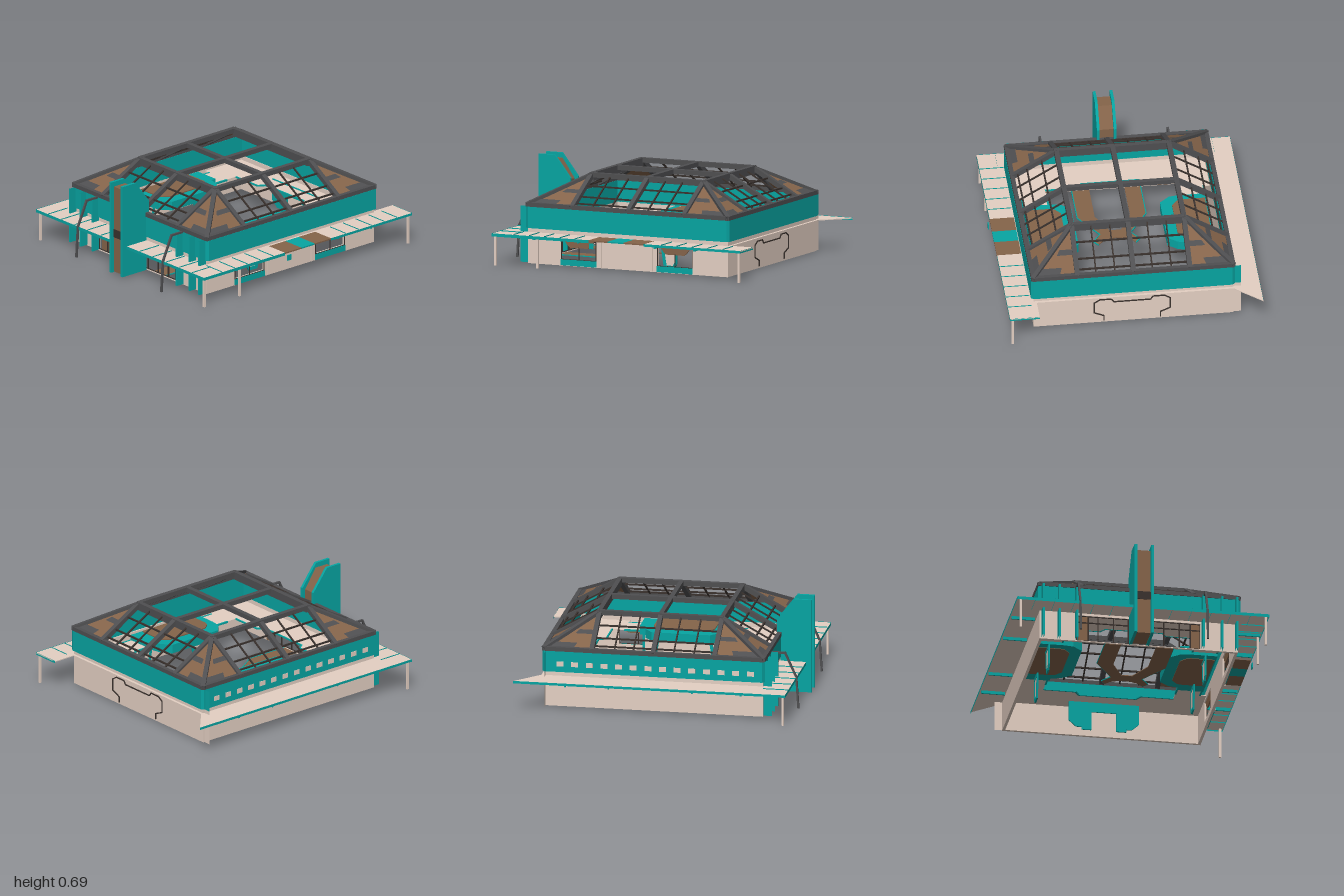
import * as THREE from 'three';

const mat = (name, hex) => {
  const m = new THREE.MeshStandardMaterial({ color: hex, side: THREE.DoubleSide });
  m.name = name;
  return m;
};

export function createModel() {
  const root = new THREE.Group();
  root.name = 'pavilion';
  const teal = mat('teal', 0x07a5a2);
  const beige = mat('beige', 0xe4d0c3);
  const brown = mat('brown', 0x85644a);
  const grey = mat('frameGrey', 0x4f4f51);
  const dark = mat('darkTrim', 0x3a322e);

  const add = (name, geo, m) => {
    const mesh = new THREE.Mesh(geo, m);
    mesh.name = name;
    root.add(mesh);
    return mesh;
  };
  // box given by its limits
  const box = (name, m, x0, x1, y0, y1, z0, z1) => {
    const b = add(name, new THREE.BoxGeometry(x1 - x0, y1 - y0, z1 - z0), m);
    b.position.set((x0 + x1) / 2, (y0 + y1) / 2, (z0 + z1) / 2);
  };
  // square bars along a path
  const bars = (name, m, t, pts) => {
    for (let i = 0; i + 1 < pts.length; i++) {
      const a = new THREE.Vector3(...pts[i]), b = new THREE.Vector3(...pts[i + 1]);
      const bar = add(name, new THREE.BoxGeometry(t, t, a.distanceTo(b) + t * 0.5), m);
      bar.position.copy(a).lerp(b, 0.5);
      bar.lookAt(b);
    }
  };
  const outline = (pts, holes = []) => {
    const s = new THREE.Shape(pts.map(p => new THREE.Vector2(...p)));
    holes.forEach(h => s.holes.push(new THREE.Path(h.map(p => new THREE.Vector2(...p)))));
    return s;
  };
  const solid = (s, depth) => new THREE.ExtrudeGeometry(s, { depth, bevelEnabled: false });
  const rect = (a0, a1, b0, b1) => [[a0, b0], [a1, b0], [a1, b1], [a0, b1]];
  // horizontal plate, points are (x, z), y is the top
  const plate = (name, m, y, t, pts, holes) => {
    add(name, solid(outline(pts, holes), t).rotateX(Math.PI / 2), m).position.y = y;
  };
  // upright plate facing z, points are (x, y)
  const facingZ = (name, m, z, t, pts, holes) => {
    add(name, solid(outline(pts, holes), t), m).position.z = z;
  };
  // upright plate facing x, points are (z, y), x is the +x face
  const facingX = (name, m, x, t, pts, holes) => {
    add(name, solid(outline(pts, holes), t).rotateY(-Math.PI / 2), m).position.x = x;
  };
  const faces = (name, m, pts) => {
    const g = new THREE.BufferGeometry();
    g.setAttribute('position', new THREE.Float32BufferAttribute(pts.flat(), 3));
    g.computeVertexNormals();
    add(name, g, m);
  };
  // upright thin sheets along (x, z) points
  const sheet = (name, m, y0, y1, ...pts) => {
    const tris = [];
    for (let i = 0; i + 1 < pts.length; i++) {
      const [[ax, az], [bx, bz]] = [pts[i], pts[i + 1]];
      tris.push([ax, y0, az], [bx, y0, bz], [bx, y1, bz], [ax, y0, az], [bx, y1, bz], [ax, y1, az]);
    }
    faces(name, m, tris);
  };

  // main dimensions: eave rectangle, roof crown rectangle
  const X0 = -0.718, X1 = 0.703, Z0 = -0.81, Z1 = 0.76;
  const EY = 0.425, CY = 0.617;
  const bx = [-0.41, -0.01, 0.39], bz = [-0.47, -0.03, 0.41];

  // lower walls
  facingX('rightWall', beige, 0.7, 0.02, rect(-0.8, 0.76, 0.005, 0.26),
    [rect(0.22, 0.5, 0.05, 0.205), rect(-0.53, -0.26, 0.05, 0.205)]);
  facingX('leftWall', beige, -0.7, 0.02, rect(-0.8, 0.76, 0.005, 0.26));
  box('backWall', beige, -0.72, 0.7, 0.005, 0.26, -0.81, -0.79);
  facingZ('frontWall', beige, 0.74, 0.02, rect(-0.72, 0.7, 0.005, 0.26), [rect(-0.46, 0.43, 0.01, 0.205)]);
  sheet('cornerWing', beige, 0.005, 0.255, [-0.775, -0.8], [-0.7, -0.8]);
  sheet('cornerWingBand', teal, 0.255, 0.405, [-0.775, -0.8], [-0.7, -0.8]);

  // bays in the right wall
  for (const z of [0.36, -0.395]) {
    facingX('bayHood', brown, 0.698, 0.01,
      [[z - 0.13, 0.205], [z + 0.13, 0.205], [z + 0.09, 0.15], [z + 0.07, 0.135], [z - 0.07, 0.135], [z - 0.09, 0.15]]);
    box('bayBase', teal, 0.69, 0.706, 0.008, 0.05, z - 0.14, z + 0.14);
    bars('bayFrame', dark, 0.006, [[0.7, 0.05, z - 0.137], [0.7, 0.205, z - 0.137], [0.7, 0.205, z + 0.137],
      [0.7, 0.05, z + 0.137], [0.7, 0.05, z - 0.137]]);
    bars('bayMullion', dark, 0.005, [[0.7, 0.05, z], [0.7, 0.14, z]]);
  }
  bars('archTrim', beige, 0.008, [[0.703, 0.01, 0.185], [0.703, 0.19, 0.185], [0.703, 0.208, 0.165],
    [0.703, 0.208, -0.2], [0.703, 0.19, -0.22], [0.703, 0.01, -0.22]]);

  // teal fascia band around the building, small panels on its left side
  plate('fasciaBand', teal, 0.41, 0.152,
    [[-0.71, -0.825], [0.7, -0.825], [0.72, -0.81], [0.72, 0.755], [0.7, 0.77], [-0.71, 0.77], [-0.73, 0.755], [-0.73, -0.81]],
    [rect(-0.7, 0.69, -0.795, 0.74)]);
  for (let i = 0; i < 14; i++) {
    const z = -0.72 + i * 0.105;
    box('leftBandPanel', beige, -0.733, -0.729, 0.3, 0.335, z, z + 0.05);
  }

  // canopy and inner ledge, one sheet with openings
  plate('canopy', beige, 0.228, 0.006,
    [[-0.91, -1], [-0.72, -0.83], [0.68, -0.83], [0.68, -1], [0.89, -1], [0.89, 0.95], [-0.91, 0.95]],
    [[[-0.47, -0.54], [-0.24, -0.54], [-0.21, -0.59], [0.2, -0.59], [0.23, -0.54], [0.46, -0.54],
      [0.46, 0.48], [0.23, 0.48], [0.19, 0.525], [-0.21, 0.525], [-0.25, 0.48], [-0.47, 0.48]],
    rect(-0.7, -0.655, -0.45, 0.4), rect(0.635, 0.68, -0.45, 0.4)]);
  for (const [z, e] of [[-0.54, -0.59], [0.48, 0.525]])
    bars('ledgeTrim', teal, 0.01, [[-0.47, 0.225, z], [-0.24, 0.225, z], [-0.21, 0.225, e], [0.2, 0.225, e], [0.23, 0.225, z], [0.46, 0.225, z]]);
  for (const x of [-0.47, 0.46, -0.655, 0.635]) bars('ledgeSideTrim', teal, 0.012, [[x, 0.224, -0.45], [x, 0.224, 0.4]]);

  // canopy edge strips, ribs, brackets and posts
  sheet('canopyFrontEdge', teal, 0.208, 0.23, [-0.911, 0.95], [-0.08, 0.951]);
  sheet('canopyFrontEdge', teal, 0.208, 0.23, [0.06, 0.951], [0.891, 0.951], [0.891, 0.19]);
  sheet('canopyLeftEdge', teal, 0.212, 0.23, [-0.911, -1], [-0.911, 0.951]);
  sheet('canopyRightEdge', teal, 0.212, 0.23, [0.891, -0.24], [0.891, -1], [0.68, -1]);
  for (const z of [-0.86, -0.74, -0.62, -0.5, -0.38, 0.3, 0.42, 0.54, 0.66, 0.78])
    sheet('canopyRib', teal, 0.214, 0.235, [0.72, z], [0.89, z]);
  for (const x of [-0.78, -0.64, -0.5, -0.36, -0.22, 0.2, 0.34, 0.48, 0.62, 0.76])
    sheet('canopyRib', teal, 0.214, 0.235, [x, 0.77], [x, 0.95]);
  for (const z of [0.63, 0.28, -0.32, -0.63]) {
    box('canopyBracket', teal, 0.7, 0.88, 0.2, 0.222, z - 0.005, z + 0.005);
    box('canopyBracket', teal, -0.9, -0.73, 0.2, 0.222, z - 0.005, z + 0.005);
  }
  for (const [x, z] of [[-0.885, 0.93], [0.87, 0.93], [0.87, 0.6], [0.87, -0.98]])
    box('canopyPost', beige, x - 0.008, x + 0.008, 0, 0.222, z - 0.008, z + 0.008);

  // side entrance marquee
  box('marqueePanel', brown, 0.719, 0.892, 0.22, 0.2295, -0.24, -0.085);
  box('marqueeCentre', teal, 0.719, 0.892, 0.22, 0.2295, -0.085, 0.04);
  box('marqueePanel', brown, 0.719, 0.892, 0.22, 0.2295, 0.04, 0.19);
  box('marqueeLamp', teal, 0.9, 0.907, 0.17, 0.21, 0.145, 0.18);

  // front entrance glazing bars and brown jambs
  box('entranceJamb', brown, -0.44, -0.37, 0.01, 0.205, 0.735, 0.745);
  box('entranceJamb', brown, 0.36, 0.43, 0.01, 0.205, 0.735, 0.745);
  for (const x of [-0.46, -0.37, -0.3, -0.19, -0.085, 0.065, 0.17, 0.28, 0.36, 0.43])
    bars('entranceMullion', dark, 0.008, [[x, 0.01, 0.75], [x, 0.205, 0.75]]);
  for (const y of [0.012, 0.155, 0.205]) bars('entranceRail', dark, 0.007, [[-0.46, y, 0.75], [0.43, y, 0.75]]);

  // teal arch inside the back
  facingZ('innerArch', teal, -0.705, 0.01, [[-0.1, 0.01], [-0.17, 0.01], [-0.17, 0.03], [-0.21, 0.03], [-0.26, 0.075],
    [-0.26, 0.234], [0.24, 0.234], [0.24, 0.075], [0.19, 0.03], [0.15, 0.03], [0.15, 0.01], [0.08, 0.01], [0.08, 0.15], [-0.1, 0.15]]);

  // outline of the rear door
  const door = [[0.2, 0.02], [0.2, 0.06], [0.27, 0.09], [0.27, 0.175], [0.23, 0.2], [0.15, 0.2], [0.13, 0.175]];
  bars('rearDoorTrim', dark, 0.008, [...door, ...door.map(([x, y]) => [-x, y]).reverse()].map(([x, y]) => [x, y, -0.812]));

  // forked floor path with teal edging
  const side = [[0.13, 0.09], [0.16, 0.13], [0.105, 0.21], [0.24, 0.42], [0.24, 0.75]];
  const left = side.map(([x, z]) => [-x - 0.01, z]);
  plate('floorPath', brown, 0.008, 0.006, [...left, [-0.135, 0.75], [-0.135, 0.42], [-0.05, 0.25], [0.03, 0.25],
    [0.115, 0.42], [0.115, 0.75], ...side.slice().reverse(), [0.09, 0.13], [0.04, 0.155], [-0.01, 0.163], [-0.06, 0.155], [-0.11, 0.13]]);
  for (const s of [side, left]) bars('pathEdge', teal, 0.007, s.map(([x, z]) => [x, 0.006, z]));

  // side booths: teal rim, brown roof and soffit, framed legs
  const rim = [[0.64, -0.34], [0.45, -0.34], [0.45, -0.3], [0.38, -0.285], [0.31, -0.23], [0.31, 0.19], [0.38, 0.25], [0.45, 0.26], [0.64, 0.26]];
  const roof = [[0.63, -0.24], [0.46, -0.24], [0.43, -0.23], [0.39, -0.18], [0.39, 0.14], [0.43, 0.19], [0.46, 0.2], [0.63, 0.2]];
  for (const s of [1, -1]) {
    const flip = pts => pts.map(([x, z]) => [s > 0 ? x : -x - 0.01, z]);
    plate('boothRim', teal, 0.265, 0.065, flip(rim));
    plate('boothRoof', brown, 0.272, 0.008, flip(roof));
    plate('boothSoffit', brown, 0.201, 0.005, flip(roof));
    const x = s > 0 ? 0.56 : -0.56;
    for (const m of [1, -1]) {
      const leg = [[0.2, 0.01], [0.28, 0.01], [0.3, 0.05], [0.3, 0.2], [0.17, 0.2]].map(([z, y]) => [m * z - 0.04, y]);
      const inset = [[0.22, 0.035], [0.27, 0.035], [0.282, 0.06], [0.282, 0.175], [0.195, 0.175]].map(([z, y]) => [m * z - 0.04, y]);
      facingX('boothLeg', teal, x, 0.012, leg, [inset]);
      facingX('boothLegPanel', beige, x - 0.003, 0.006, inset);
    }
  }

  // front fins, open at the top
  for (const x of [-0.7, -0.585, -0.46, 0.445, 0.58, 0.685])
    sheet('frontFin', teal, 0.01, 0.41, [x - 0.007, 0.76], [x - 0.007, 0.82], [x + 0.007, 0.82], [x + 0.007, 0.76]);
  // front pipe struts
  for (const x of [-0.46, 0.45])
    bars('frontStrut', grey, 0.014, [[x, 0.005, 0.965], [x, 0.23, 0.95], [x, 0.405, 0.87], [x, 0.405, 0.77]]);

  // sign tower: two side fins around a brown core
  const fin = [[0.765, 0.005], [0.99, 0.005], [0.99, 0.685], [0.865, 0.685], [0.74, 0.525], [0.74, 0.42], [0.765, 0.42]];
  const core = [[0.775, 0.01], [0.965, 0.01], [0.965, 0.65], [0.86, 0.65], [0.765, 0.51], [0.765, 0.42]];
  facingX('towerFin', teal, -0.06, 0.02, fin);
  facingX('towerFin', teal, 0.06, 0.02, fin);
  facingX('towerCore', brown, 0.042, 0.104, core);
  box('towerWindow', dark, -0.06, 0.04, 0.27, 0.33, 0.964, 0.969);

  // roof frame
  for (const x of bx) bars('roofBeam', grey, 0.034, [[x, EY, Z1], [x, CY, bz[2]], [x, CY, bz[0]], [x, EY, Z0]]);
  for (const z of bz) bars('roofBeam', grey, 0.033, [[X0, EY, z], [bx[0], CY, z], [bx[2], CY, z], [X1, EY, z]]);
  for (const z of [bz[0], bz[2]]) box('crownRail', grey, bx[0], bx[2], 0.575, 0.605, z - 0.014, z + 0.014);
  bars('eaveBeam', grey, 0.03, [[X0, EY, Z0], [X1, EY, Z0], [X1, EY, Z1], [X0, EY, Z1], [X0, EY, Z0]]);

  // hipped corners with brown panels and grey patches
  for (const [ex, cx] of [[X0, bx[0]], [X1, bx[2]]]) {
    for (const [ez, cz] of [[Z0, bz[0]], [Z1, bz[2]]]) {
      const E = [ex, EY, ez], C = [cx, CY, cz];
      bars('hipBeam', grey, 0.032, [E, C]);
      for (const P of [[cx, EY, ez], [ex, EY, cz]]) {
        faces('cornerPanel', brown, [E, P, C]);
        // point at height t, s of the way from the hip to the beam
        const at = (t, s) => E.map((v, i) => (v + (P[i] - v) * s) * (1 - t) + C[i] * t + (i === 1 ? 0.004 : 0));
        for (const [t0, t1, s0, s1] of [[0, 0.17, 0, 0.6], [0.41, 0.52, 0.3, 1]]) {
          const [a, b, c, d] = [at(t0, s0), at(t0, s1), at(t1, s0), at(t1, s1)];
          faces('cornerPatch', grey, [a, b, c, b, d, c]);
        }
      }
    }
  }

  // glazing bars on the four slopes
  const mix = (p, q, t) => p + (q - p) * t;
  const rows = [0.12, 0.33, 0.66];
  for (const [ez, cz] of [[Z0, bz[0]], [Z1, bz[2]]]) {
    for (const x of [-0.28, -0.145, 0.12, 0.255]) bars('glazingBar', dark, 0.01, [[x, EY, ez], [x, CY, cz]]);
    for (const t of rows) bars('glazingBar', dark, 0.011, bx.map(x => [x, mix(EY, CY, t), mix(ez, cz, t)]));
  }
  for (const [ex, cx] of [[X0, bx[0]], [X1, bx[2]]]) {
    for (const z of [-0.31, -0.175, 0.115, 0.26]) bars('glazingBar', dark, 0.01, [[ex, EY, z], [cx, CY, z]]);
    for (const t of rows) bars('glazingBar', dark, 0.011, bz.map(z => [mix(ex, cx, t), mix(EY, CY, t), z]));
  }
  return root;
}
